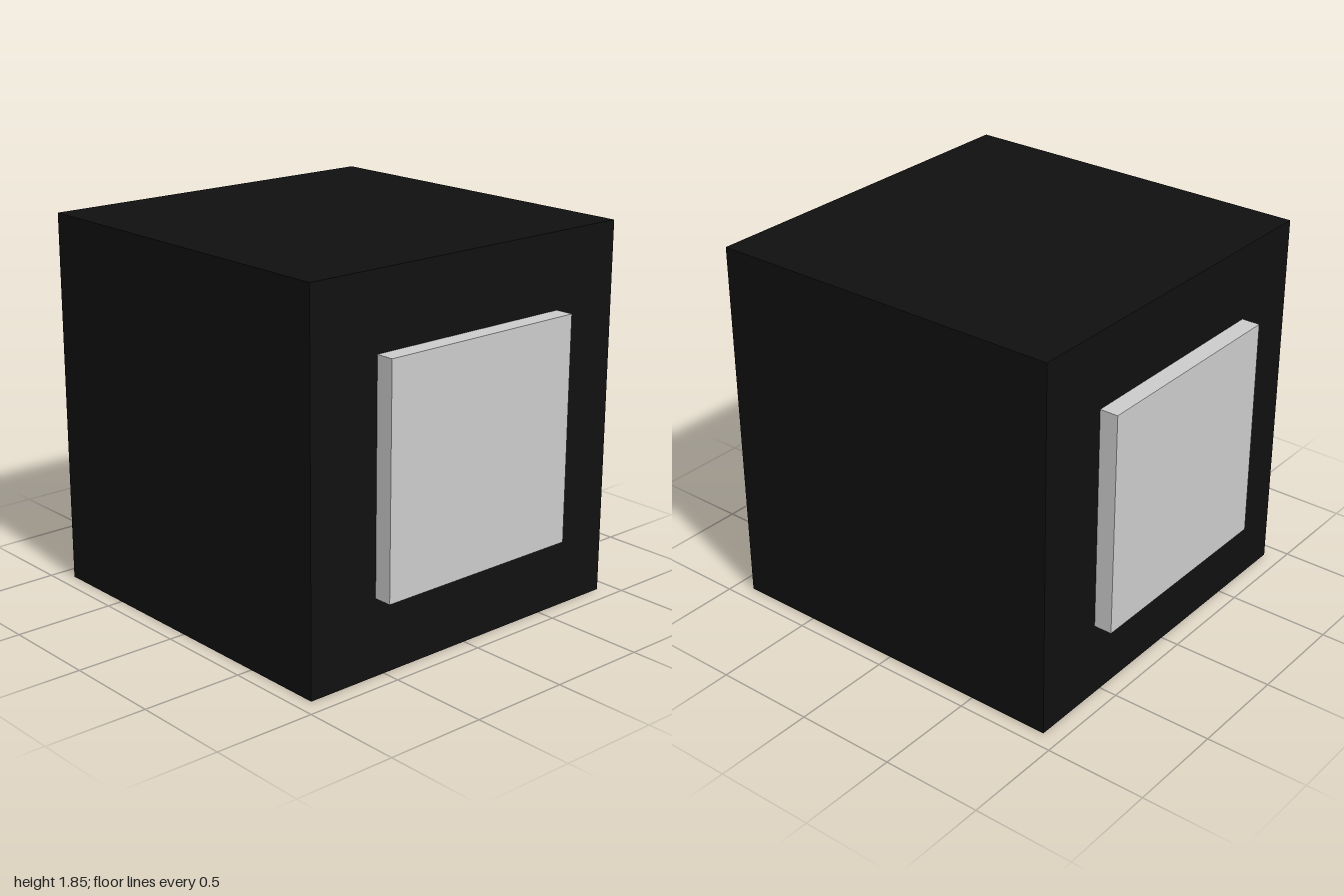
import * as THREE from 'three';

export function createModel() {
  const group = new THREE.Group();
  const black = new THREE.MeshStandardMaterial({ color: 0x101010 });
  const grey = new THREE.MeshStandardMaterial({ color: 0xcccccc });

  // Box centred on x, spanning the given heights and depths
  const addBox = (name, material, width, y0, y1, z0, z1) => {
    const mesh = new THREE.Mesh(new THREE.BoxGeometry(width, y1 - y0, z1 - z0), material);
    mesh.name = name;
    mesh.position.set(0, (y0 + y1) / 2, (z0 + z1) / 2);
    group.add(mesh);
  };

  // Dark housing
  addBox('housing', black, 1.845, 0, 1.845, -0.91, 0.91);

  // Raised square panels, front and back, seated slightly into the housing
  addBox('frontPanel', grey, 1.105, 0.373, 1.478, 0.89, 1);
  addBox('backPanel', grey, 1.105, 0.373, 1.478, -1, -0.89);

  return group;
}
